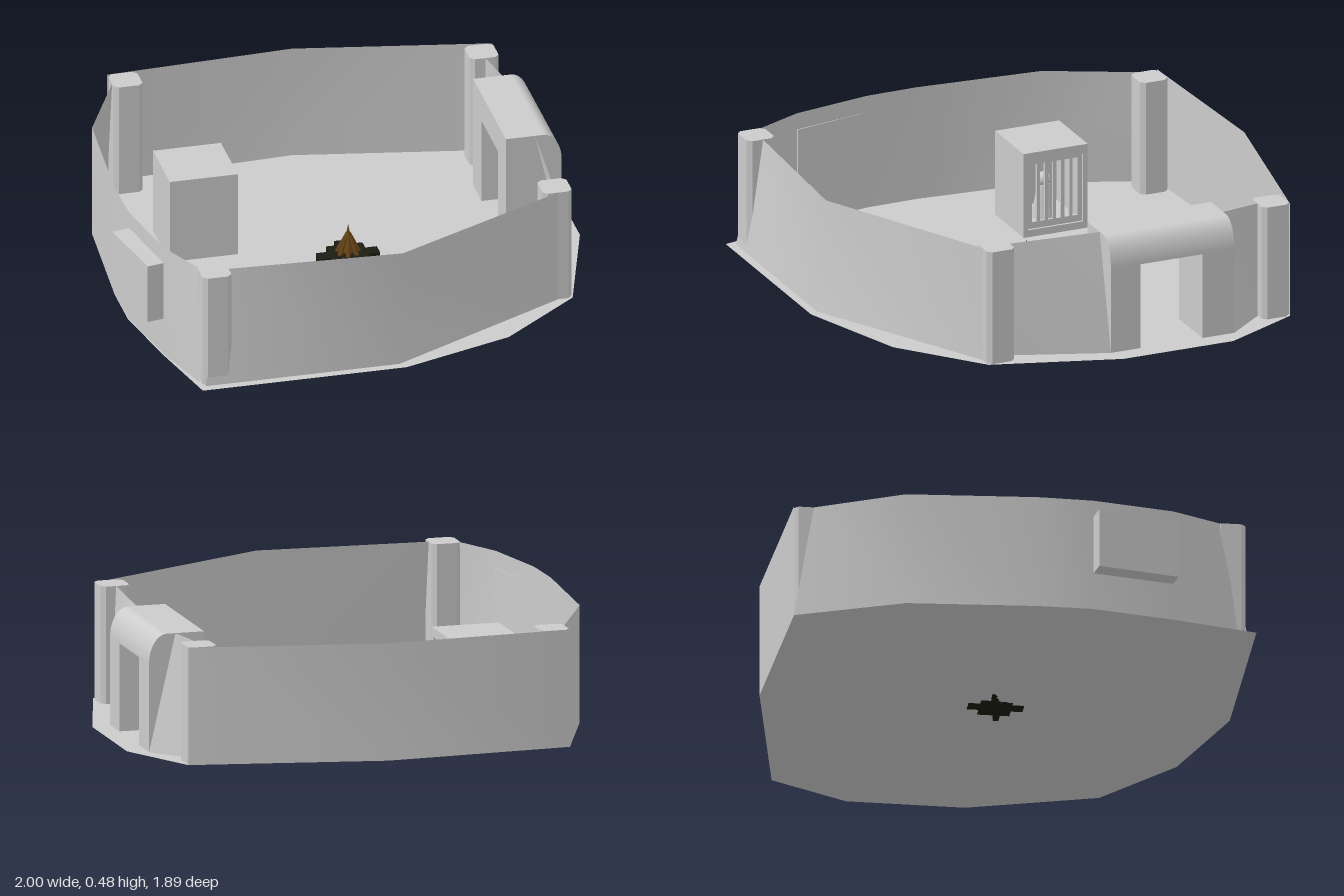
import * as THREE from 'three';

const WALL_H = 0.48;

function mat(color, double = false) {
  return new THREE.MeshStandardMaterial({ color, side: double ? THREE.DoubleSide : THREE.FrontSide });
}

export function createModel() {
  const root = new THREE.Group();
  const grey = mat(0xcccccc);
  const greyThin = mat(0xcccccc, true);
  const soot = mat(0x1c1c12);
  const olive = mat(0x8a8a58);
  const wood = mat(0x6b4718);

  const add = (name, geo, material, x = 0, y = 0, z = 0, parent = root) => {
    const m = new THREE.Mesh(geo, material);
    m.name = name;
    m.position.set(x, y, z);
    parent.add(m);
    return m;
  };
  const box = (name, material, w, h, d, x, y, z, parent) =>
    add(name, new THREE.BoxGeometry(w, h, d), material, x, y, z, parent);

  // Ground sheet
  const outline = [[-0.72, -0.91], [0.05, -0.95], [0.84, -0.8], [1, -0.48], [1, 0], [0.84, 0.52],
    [0.51, 0.79], [0.05, 0.945], [-0.79, 0.945], [-0.87, 0.6], [-0.93, 0.27], [-0.93, 0.05], [-0.89, -0.48]];
  const ground = new THREE.ShapeGeometry(new THREE.Shape(outline.map(([x, z]) => new THREE.Vector2(x, -z))));
  ground.rotateX(-Math.PI / 2);
  add('ground', ground, greyThin);

  // Thin walls: a strip between a foot line and a top line, smooth along its length
  function wall(name, foot, top = foot) {
    const pos = [], index = [];
    foot.forEach(([x, z], i) => {
      pos.push(x, 0, z, top[i][0], WALL_H, top[i][1]);
      if (i) {
        const a = 2 * (i - 1);
        index.push(a, a + 2, a + 1, a + 1, a + 2, a + 3);
      }
    });
    const geo = new THREE.BufferGeometry();
    geo.setAttribute('position', new THREE.Float32BufferAttribute(pos, 3));
    geo.setIndex(index);
    geo.computeVertexNormals();
    add(name, geo, greyThin);
  }
  wall('frontWall', [[-0.77, 0.91], [0.03, 0.91], [0.82, 0.5]], [[-0.68, 0.84], [0.05, 0.88], [0.82, 0.5]]);
  wall('backWall', [[0.84, -0.8], [0.05, -0.95], [-0.72, -0.91]]);
  wall('rightSideWall',
    [[-0.72, -0.91], [-0.89, -0.48], [-0.93, 0.05], [-0.925, 0.27], [-0.865, 0.6], [-0.785, 0.87]],
    [[-0.72, -0.83], [-0.89, -0.48], [-0.93, 0.05], [-0.925, 0.27], [-0.865, 0.6], [-0.77, 0.81]]);
  wall('gateWallFront', [[0.78, 0.4], [0.92, 0.02]], [[0.78, 0.4], [0.81, 0.02]]);
  wall('gateWallBack', [[0.92, -0.52], [0.78, -0.69]], [[0.81, -0.52], [0.78, -0.69]]);

  // Corner pillars with chamfered edges
  const r = 0.06, c = 0.042;
  const pillarShape = new THREE.Shape([[r, -c], [r, c], [c, r], [-c, r], [-r, c], [-r, -c], [-c, -r], [c, -r]]
    .map(([x, y]) => new THREE.Vector2(x, y)));
  const pillarGeo = new THREE.ExtrudeGeometry(pillarShape, { depth: WALL_H, bevelEnabled: false });
  pillarGeo.rotateX(-Math.PI / 2);
  for (const [x, z] of [[-0.66, -0.85], [0.78, -0.742], [0.78, 0.46], [-0.718, 0.845]])
    add('pillar', pillarGeo, grey, x, 0, z);

  // Gatehouse: jambs and lintel share a profile with a rounded outer top edge
  function gatePart(name, bottom, z0, z1) {
    const s = new THREE.Shape();
    s.moveTo(0.69, bottom);
    s.lineTo(0.92, bottom);
    if (bottom < 0.36) s.lineTo(0.92, 0.36);
    s.absellipse(0.845, 0.36, 0.075, 0.12, 0, Math.PI / 2, false);
    s.lineTo(0.69, WALL_H);
    s.closePath();
    const geo = new THREE.ExtrudeGeometry(s, { depth: z1 - z0, bevelEnabled: false, curveSegments: 10 });
    add(name, geo, grey, 0, 0, z0);
  }
  gatePart('gateJambFront', 0, -0.11, 0.02);
  gatePart('gateJambBack', 0, -0.52, -0.38);
  gatePart('gateLintel', 0.36, -0.38, -0.11);

  // Box set through the side wall
  box('wallBox', grey, 0.075, 0.25, 0.333, -0.929, 0.285, 0.442).rotation.y = 0.19;

  // Cage: hollow box whose front is a recessed, slotted panel
  const cage = new THREE.Group();
  cage.name = 'cage';
  cage.position.set(-0.507, 0, -0.31);
  root.add(cage);
  const S = 0.28, H = 0.36;
  box('cageTop', grey, S, 0.02, S, 0, H - 0.01, 0, cage);
  box('cageBack', grey, 0.02, H - 0.02, S, -S / 2 + 0.01, H / 2 - 0.01, 0, cage);
  for (const s of [-1, 1])
    box('cageSide', grey, S - 0.02, H - 0.02, 0.02, 0.01, H / 2 - 0.01, s * (S / 2 - 0.01), cage);
  box('cageFloor', grey, S - 0.02, 0.03, S - 0.04, 0.01, 0.015, 0, cage);
  box('cageFrontLip', grey, 0.02, 0.02, S - 0.04, S / 2 - 0.01, 0.332, 0, cage);

  const rect = (Type, x0, y0, x1, y1) => new Type([[x0, y0], [x1, y0], [x1, y1], [x0, y1]]
    .map(([x, y]) => new THREE.Vector2(x, y)));
  const panel = rect(THREE.Shape, -0.12, 0.03, 0.12, 0.325);
  for (let i = 0; i < 6; i++) {
    const x = (i - 2.5) * 0.0355;
    panel.holes.push(rect(THREE.Path, x - 0.011, 0.058, x + 0.011, 0.305));
  }
  const bars = add('cageBars', new THREE.ExtrudeGeometry(panel, { depth: 0.012, bevelEnabled: false }),
    grey, S / 2 - 0.022, 0, 0, cage);
  bars.rotation.y = Math.PI / 2;

  // Small shape sitting inside the cage
  add('captiveBody', new THREE.CylinderGeometry(0.025, 0.05, 0.14, 10), grey, 0.02, 0.1, 0, cage);
  add('captiveHead', new THREE.SphereGeometry(0.03, 12, 8), grey, 0.02, 0.19, 0, cage);

  // Campfire: stepped hearth with leaning sticks
  const fire = new THREE.Group();
  fire.name = 'campfire';
  fire.position.set(0.045, 0, 0);
  root.add(fire);
  for (const [w, d, h] of [[0.25, 0.055, 0.04], [0.06, 0.225, 0.04], [0.15, 0.13, 0.045]])
    box('hearth', soot, w, h, d, 0, h / 2, 0, fire);
  for (let i = 0; i < 7; i++) {
    const arm = new THREE.Group();
    arm.name = 'stickArm';
    arm.rotation.y = i * Math.PI * 2 / 7;
    fire.add(arm);
    const stick = add('stick', new THREE.CylinderGeometry(0.005, 0.011, 0.1, 5), wood, 0.025, 0.085, 0, arm);
    stick.rotation.z = 0.4;
  }
  add('flame', new THREE.ConeGeometry(0.025, 0.13, 6), wood, 0, 0.105, 0, fire);

  // Bedroll with a pillow
  box('bedroll', soot, 0.14, 0.02, 0.23, -0.16, 0.011, 0.487);
  box('pillow', olive, 0.14, 0.028, 0.077, -0.16, 0.015, 0.64);

  return root;
}
